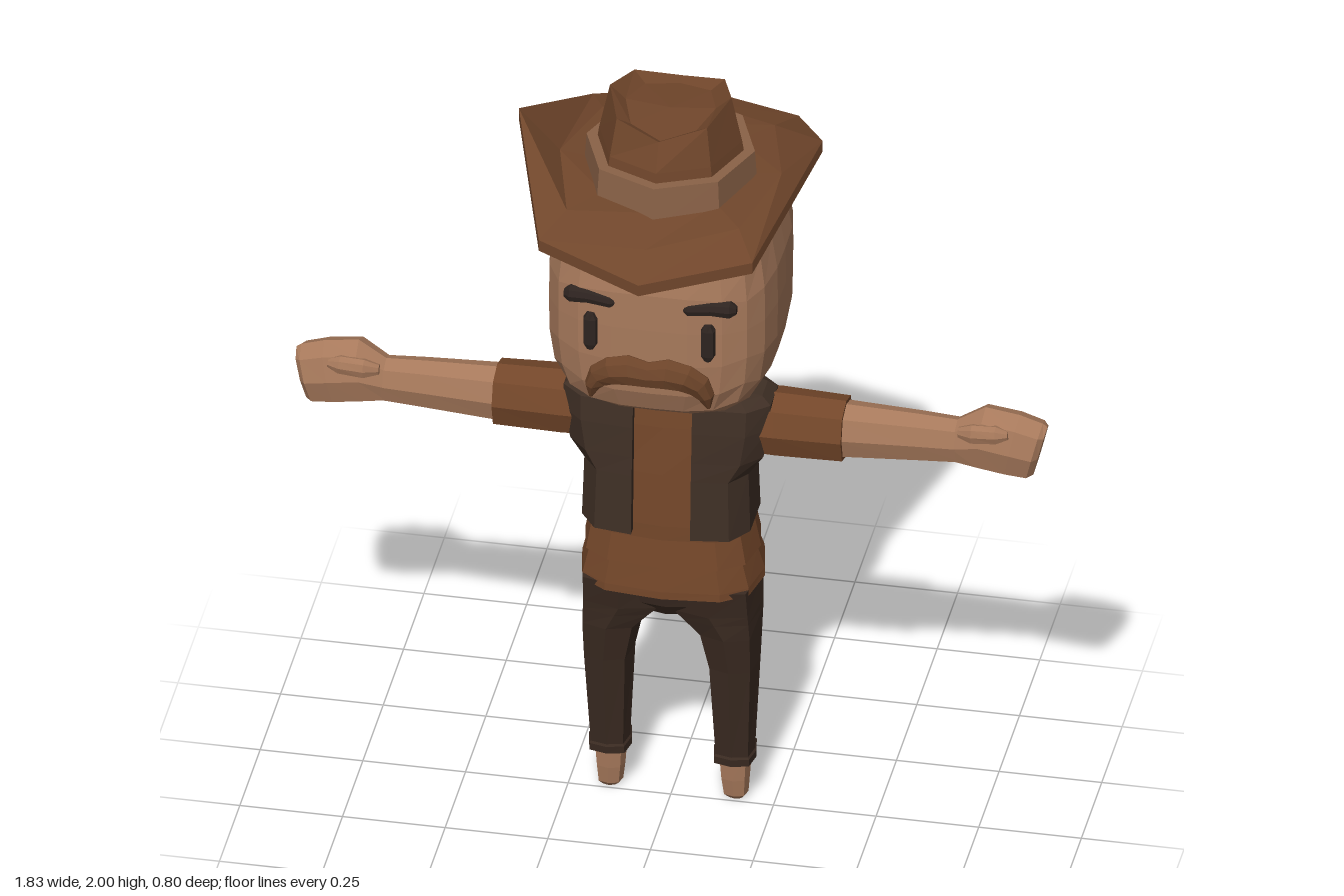
import * as THREE from 'three';

const paint = (name, color) => {
  const m = new THREE.MeshStandardMaterial({ color });
  m.name = name;
  return m;
};

// Signed power, turns a circle into a rounded square when e > 2
const sp = (v, e) => Math.sign(v) * Math.pow(Math.abs(v), 2 / e);

// Horizontal cross-section given by its extents
function ringY(y, x0, x1, z0, z1, n = 8, e = 3) {
  return Array.from({ length: n }, (_, j) => {
    const a = (j / n) * Math.PI * 2;
    return [(x0 + x1) / 2 + (x1 - x0) / 2 * sp(Math.sin(a), e), y, (z0 + z1) / 2 + (z1 - z0) / 2 * sp(Math.cos(a), e)];
  });
}

// Upright cross-section for parts running along x, leaning by angle t
function ringX(x, y, z, ry, rz, t = 0, n = 8, e = 2.5) {
  return Array.from({ length: n }, (_, j) => {
    const a = (j / n) * Math.PI * 2, h = ry * sp(Math.cos(a), e);
    return [x - Math.sin(t) * h, y + Math.cos(t) * h, z + rz * sp(Math.sin(a), e)];
  });
}

// Eight-sided outline from the points of its left half, front to back
const octagon = (h) => h.concat(h.slice(1, 4).reverse().map(([x, y, z]) => [-x, y, z]));

const mirror = (rings) => rings.map((r) => r.map(([x, y, z]) => [-x, y, z]).reverse());

// Faceted skin over a stack of rings; closed rings are capped at both ends
function loft(rings, closed = true) {
  const pos = [], n = rings[0].length;
  const tri = (a, b, c) => pos.push(...a, ...b, ...c);
  for (let i = 0; i < rings.length - 1; i++) {
    for (let j = 0; j < (closed ? n : n - 1); j++) {
      const k = (j + 1) % n, [p, q] = [rings[i], rings[i + 1]];
      tri(p[j], p[k], q[k]);
      tri(p[j], q[k], q[j]);
    }
  }
  if (closed) {
    const mid = (r) => [0, 1, 2].map((c) => r.reduce((s, p) => s + p[c], 0) / n);
    const first = rings[0], last = rings[rings.length - 1], a = mid(first), b = mid(last);
    for (let j = 0; j < n; j++) {
      const k = (j + 1) % n;
      tri(a, first[k], first[j]);
      tri(b, last[j], last[k]);
    }
  }
  const g = new THREE.BufferGeometry();
  g.setAttribute('position', new THREE.Float32BufferAttribute(pos, 3));
  g.computeVertexNormals();
  return g;
}

export function createModel() {
  const model = new THREE.Group();
  const skin = paint('skin', 0xa87a5c);
  const hatBrown = paint('hatLeather', 0x70462b);
  const bandTan = paint('hatBand', 0x8a6247);
  const shirtBrown = paint('shirtCloth', 0x74472a);
  const vestDark = paint('vestLeather', 0x3f2f25);
  vestDark.side = THREE.DoubleSide;
  const pantsDark = paint('trouserCloth', 0x3a2a21);
  const dark = paint('eyeAndBrow', 0x2e2420);
  const hair = paint('moustacheHair', 0x6e452a);

  const add = (name, geometry, material) => {
    const m = new THREE.Mesh(geometry, material);
    m.name = name;
    model.add(m);
  };
  const pair = (name, rings, material) => {
    add('left' + name, loft(rings), material);
    add('right' + name, loft(mirror(rings)), material);
  };

  // Head: a box swollen into a rounded block, chin pushed forward
  const head = new THREE.BoxGeometry(2, 2, 2, 6, 6, 6).toNonIndexed();
  const p = head.attributes.position, e = 3.5;
  for (let i = 0; i < p.count; i++) {
    const v = [p.getX(i), p.getY(i), p.getZ(i)];
    const s = 1 / Math.pow(v.reduce((t, c) => t + Math.abs(c) ** e, 0), 1 / e);
    const y = v[1] * s;
    p.setXYZ(i, v[0] * s * 0.28, 1.49 + y * 0.295, -0.005 + v[2] * s * 0.277 + Math.max(0, -y - 0.5) * 0.05);
  }
  head.computeVertexNormals();
  add('head', head, skin);
  add('neck', loft([ringY(1.12, -0.07, 0.07, -0.08, 0.06), ringY(1.24, -0.07, 0.07, -0.08, 0.06)]), skin);

  // Face
  pair('Eye', [[1.42, 0.009], [1.435, 0.018], [1.505, 0.018], [1.52, 0.009]].map(([y, r]) =>
    ringY(y, 0.143 - r, 0.143 + r, 0.24, 0.27 + r * 0.5)), dark);
  pair('Eyebrow', [[0.083, 1.557, 0.008], [0.095, 1.557, 0.016], [0.15, 1.563, 0.018], [0.195, 1.562, 0.021], [0.21, 1.56, 0.01]]
    .map(([x, y, r]) => ringX(x, y, 0.262 - (x - 0.08) * 0.1, r, r)), dark);
  pair('Moustache', [
    ringX(0, 1.37, 0.275, 0.032, 0.03), ringX(0.045, 1.378, 0.275, 0.038, 0.036, -0.1),
    ringX(0.09, 1.368, 0.27, 0.035, 0.034, -0.4), ringX(0.122, 1.345, 0.262, 0.03, 0.03, -0.8),
    ringX(0.138, 1.315, 0.258, 0.02, 0.024, -1.3), ringX(0.143, 1.28, 0.255, 0.005, 0.008, -1.5),
  ], hair);

  // Hat: turned-up brim, band and pinched crown
  const rim = [[0, 1.67, 0.4], [0.26, 1.71, 0.31], [0.37, 1.875, 0], [0.25, 1.735, -0.31], [0, 1.72, -0.4]];
  add('hatBrim', loft([
    octagon([[0, 1.74, 0.24], [0.18, 1.75, 0.18], [0.25, 1.765, 0], [0.18, 1.76, -0.18], [0, 1.755, -0.24]]),
    octagon(rim),
    octagon(rim.map(([x, y, z]) => [x, y + 0.03, z])),
    octagon([[0, 1.745, 0.31], [0.21, 1.775, 0.22], [0.27, 1.8, 0], [0.21, 1.79, -0.22], [0, 1.775, -0.31]]),
    octagon([[0, 1.78, 0.2], [0.14, 1.785, 0.14], [0.2, 1.79, 0], [0.14, 1.79, -0.14], [0, 1.785, -0.2]]),
  ]), hatBrown);
  add('hatBand', loft([ringY(1.75, -0.212, 0.212, -0.222, 0.222, 8, 2), ringY(1.855, -0.205, 0.205, -0.212, 0.212, 8, 2)]), bandTan);
  add('hatCrown', loft([
    ringY(1.83, -0.182, 0.182, -0.19, 0.19, 8, 2), ringY(1.88, -0.174, 0.174, -0.182, 0.182, 8, 2),
    octagon([[0, 1.95, 0.15], [0.11, 1.978, 0.11], [0.148, 2, 0], [0.11, 1.978, -0.11], [0, 1.95, -0.15]]),
    octagon([[0, 1.94, 0.13], [0.08, 1.955, 0.09], [0.11, 1.965, 0], [0.08, 1.955, -0.09], [0, 1.94, -0.13]]),
  ]), hatBrown);

  // Shirt with an overhanging fold above its flared hem
  const shirt = [[0.63, 0.223, -0.185, 0.12], [0.65, 0.222, -0.195, 0.12], [0.715, 0.206, -0.165, 0.112],
    [0.716, 0.214, -0.18, 0.117], [0.79, 0.2, -0.165, 0.108], [0.83, 0.188, -0.135, 0.108], [0.97, 0.183, -0.125, 0.1],
    [1.1, 0.22, -0.11, 0.092], [1.165, 0.2, -0.09, 0.085], [1.185, 0.11, -0.07, 0.07]];
  add('shirt', loft(shirt.map(([y, h, z0, z1]) => ringY(y, -h, h, z0, z1, 12, 3))), shirtBrown);
  add('collar', loft([ringY(1.15, -0.11, 0.11, -0.115, 0.095), ringY(1.205, -0.085, 0.085, -0.095, 0.075)]), shirtBrown);

  // Vest, open down the front, its edges turned in to the shirt
  const vest = [[0.815, 0.17, -0.12, 0.1], [0.81, 0.205, -0.152, 0.127], [0.97, 0.2, -0.142, 0.118], [1.02, 0.235, -0.135, 0.113],
    [1.1, 0.25, -0.128, 0.108], [1.165, 0.252, -0.105, 0.1], [1.185, 0.23, -0.07, 0.08], [1.197, 0.11, -0.05, 0.05]];
  add('vest', loft(vest.map(([y, h, z0, z1]) => {
    const half = [[0.072, z1 - 0.035], [0.072, z1], [h * 0.8, z1 * 0.9], [h, z1 * 0.45], [h, z0 * 0.45], [h * 0.8, z0 * 0.88], [0.07, z0]];
    return [...half, ...half.slice().reverse().map(([x, z]) => [-x, z])].map(([x, z]) => [x, y, z]);
  }), false), vestDark);

  // Arms
  pair('Sleeve', [ringX(0.15, 1.09, -0.01, 0.075, 0.08), ringX(0.26, 1.088, -0.012, 0.08, 0.08),
    ringX(0.425, 1.085, -0.014, 0.078, 0.073)], shirtBrown);
  pair('Forearm', [ringX(0.4, 1.085, -0.014, 0.07, 0.062), ringX(0.6, 1.088, -0.014, 0.061, 0.052),
    ringX(0.72, 1.088, -0.014, 0.055, 0.045)], skin);
  pair('Hand', [ringX(0.69, 1.087, -0.014, 0.054, 0.045), ringX(0.755, 1.103, -0.018, 0.083, 0.06, -0.1),
    ringX(0.83, 1.093, -0.017, 0.083, 0.062, -0.2), ringX(0.885, 1.083, -0.015, 0.077, 0.058, -0.24),
    ringX(0.898, 1.082, -0.015, 0.07, 0.042, -0.24)], skin);
  pair('Thumb', [ringX(0.705, 1.135, 0.025, 0.012, 0.012), ringX(0.74, 1.14, 0.035, 0.024, 0.02),
    ringX(0.8, 1.145, 0.035, 0.022, 0.022, 0.1), ringX(0.828, 1.145, 0.032, 0.01, 0.012, 0.1)], skin);

  // Trousers: hips bridging two tapering legs
  add('hips', loft([ringY(0.55, -0.1, 0.1, -0.13, 0.06), ringY(0.59, -0.2, 0.2, -0.145, 0.09), ringY(0.65, -0.21, 0.21, -0.155, 0.105)]), pantsDark);
  pair('TrouserLeg', [[0.115, 0.1, 0.203, -0.083, 0.03], [0.135, 0.1, 0.204, -0.085, 0.032], [0.14, 0.104, 0.2, -0.081, 0.028],
    [0.4, 0.092, 0.213, -0.11, 0.062], [0.5, 0.07, 0.217, -0.13, 0.078], [0.545, 0.025, 0.219, -0.145, 0.085],
    [0.57, 0, 0.22, -0.152, 0.09], [0.645, 0, 0.218, -0.155, 0.105]]
    .map(([y, ...b]) => ringY(y, ...b, 8, 3.5)), pantsDark);

  // Feet
  pair('Foot', [[0, 0.135, 0.172, -0.055, -0.01], [0.012, 0.122, 0.183, -0.064, 0], [0.06, 0.116, 0.187, -0.066, 0.008],
    [0.14, 0.11, 0.193, -0.07, 0.015]].map(([y, ...b]) => ringY(y, ...b)), skin);

  return model;
}
